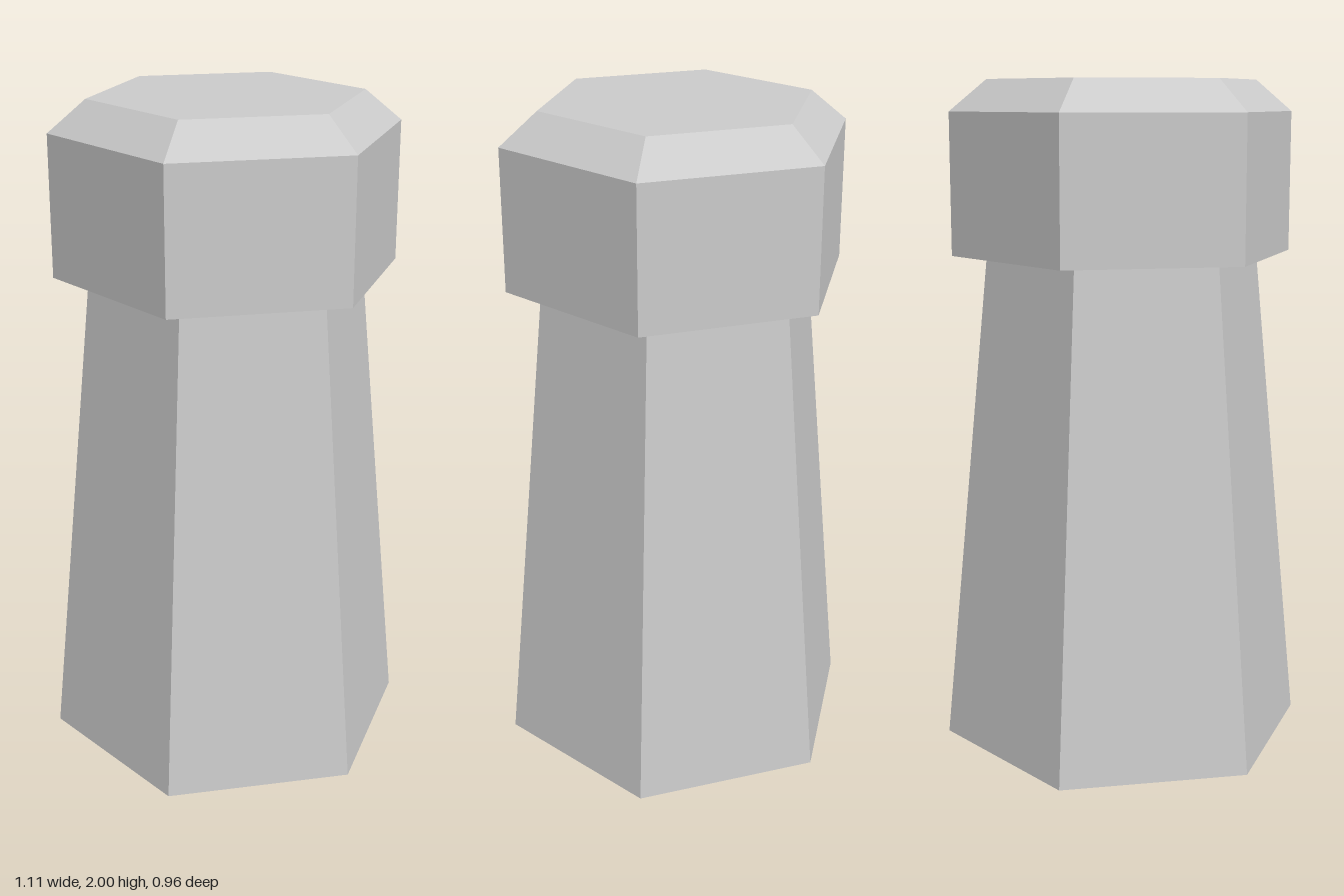
import * as THREE from 'three';

const SIDES = 6;

// Revolve a [radius, height] profile (bottom to top) into a flat-sided hexagonal solid
// with corners on the x axis and flat faces to the front and back.
function hexPart(name, profile, material) {
  const points = profile.map(([r, y]) => new THREE.Vector2(r, y));
  const geometry = new THREE.LatheGeometry(points, SIDES, Math.PI / 6).toNonIndexed();
  geometry.computeVertexNormals();
  const mesh = new THREE.Mesh(geometry, material);
  mesh.name = name;
  return mesh;
}

export function createModel() {
  const group = new THREE.Group();
  group.name = 'hexagonalPost';
  const material = new THREE.MeshStandardMaterial({ color: 0xcccccc, flatShading: true });

  // Tapered shaft with a closed base
  group.add(hexPart('shaft', [[0, 0], [0.557, 0], [0.412, 1.49]], material));

  // Overhanging head: underside ledge, upright walls, bevel and flat top
  group.add(hexPart('head', [[0.412, 1.49], [0.515, 1.49], [0.515, 1.908], [0.404, 2], [0, 2]], material));

  return group;
}
